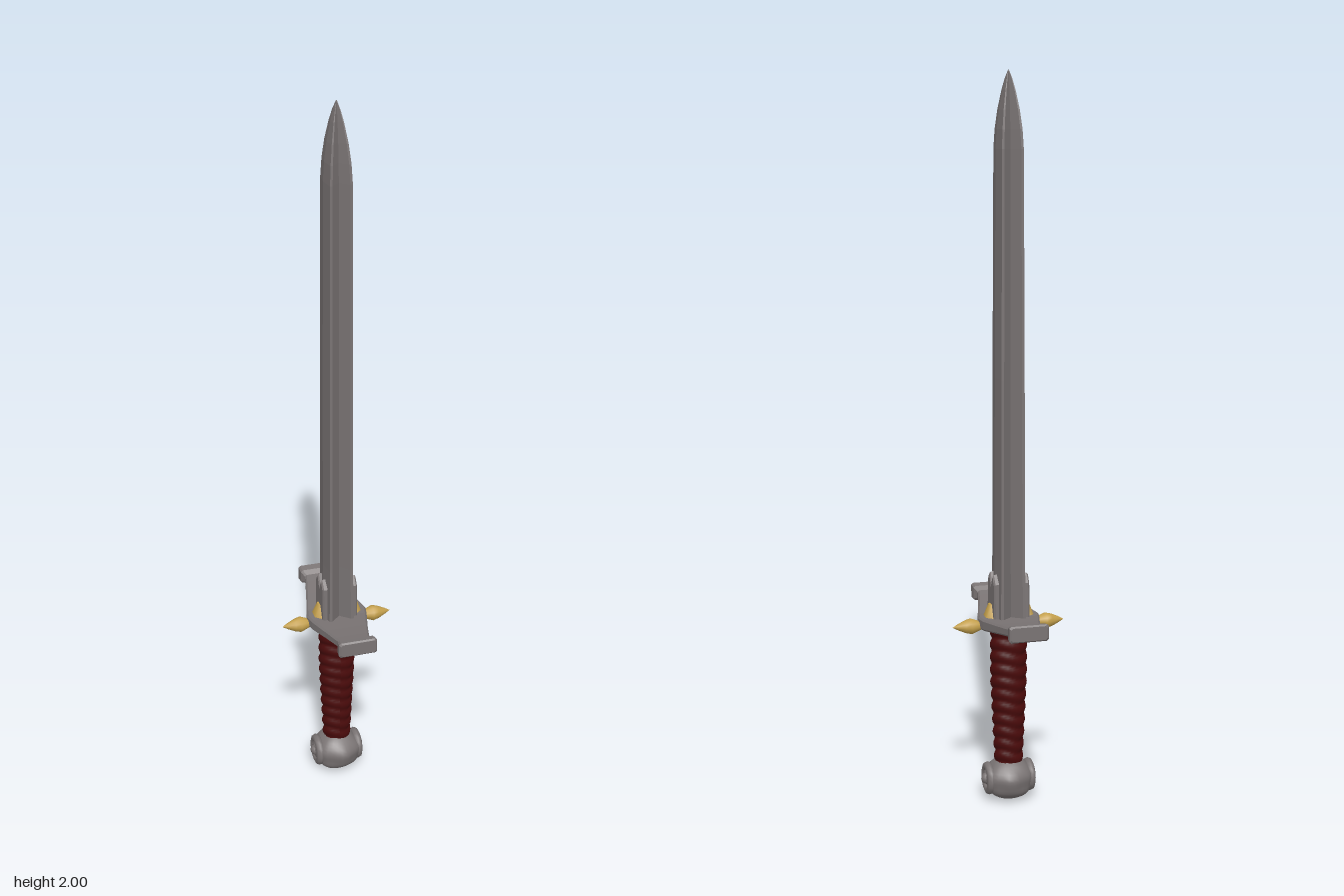
import * as THREE from 'three';

// Skin over closed rings of [x, y, z] points, flat shaded, with both ends capped
function loft(rings) {
  const pos = [];
  const tri = (a, b, c) => pos.push(...a, ...b, ...c);
  const n = rings[0].length;
  for (let i = 0; i < rings.length - 1; i++) {
    for (let j = 0; j < n; j++) {
      const k = (j + 1) % n;
      tri(rings[i][j], rings[i][k], rings[i + 1][k]);
      tri(rings[i][j], rings[i + 1][k], rings[i + 1][j]);
    }
  }
  const cap = (ring, flip) => {
    const c = [0, 1, 2].map(a => ring.reduce((s, p) => s + p[a], 0) / n);
    ring.forEach((p, j) => {
      const q = ring[(j + 1) % n];
      flip ? tri(c, q, p) : tri(c, p, q);
    });
  };
  cap(rings[0], true);
  cap(rings[rings.length - 1], false);
  const g = new THREE.BufferGeometry();
  g.setAttribute('position', new THREE.Float32BufferAttribute(pos, 3));
  g.computeVertexNormals();
  return g;
}

// Move every vertex of a geometry by a rule
function reshape(g, rule) {
  const p = g.attributes.position, v = new THREE.Vector3();
  for (let i = 0; i < p.count; i++) {
    rule(v.fromBufferAttribute(p, i));
    p.setXYZ(i, v.x, v.y, v.z);
  }
  g.computeVertexNormals();
  return g;
}

export function createModel() {
  const mat = (name, color) => {
    const m = new THREE.MeshStandardMaterial({ color });
    m.name = name;
    return m;
  };
  const steel = mat('steel', 0x7a7474);
  const gold = mat('gold', 0xc4a04c);
  const leather = mat('darkRedLeather', 0x4a0b0b);

  const sword = new THREE.Group();
  sword.name = 'sword';
  const add = (name, geometry, material) => {
    const m = new THREE.Mesh(geometry, material);
    m.name = name;
    sword.add(m);
    return m;
  };

  // Blade: thick section with a deep groove front and back, curving to a point
  const section = [[0.037, 0], [0.031, -0.047], [0.024, -0.047], [0, -0.022], [-0.024, -0.047], [-0.031, -0.047],
    [-0.037, 0], [-0.031, 0.047], [-0.024, 0.047], [0, 0.022], [0.024, 0.047], [0.031, 0.047]];
  const bladeSteps = [[0.52, 1.15], [0.7, 1.06], [1.2, 1.02], [1.8, 0.94], [1.85, 0.86], [1.9, 0.69], [1.95, 0.43], [1.98, 0.22], [2, 0.02]];
  add('blade', loft(bladeSteps.map(([y, s]) => section.map(([x, z]) => [x * s, y, z * s]))), steel);

  // Guard: wide in the middle, bent upward to flared ends
  const guardHalf = [[0, 0.086, 0.522, 0.017], [0.03, 0.08, 0.523, 0.016], [0.1, 0.061, 0.533, 0.014], [0.15, 0.049, 0.541, 0.013],
    [0.178, 0.043, 0.546, 0.013], [0.19, 0.052, 0.548, 0.021], [0.21, 0.054, 0.55, 0.023], [0.214, 0.049, 0.55, 0.019]];
  const guardSteps = [...guardHalf.slice(1).reverse().map(([z, ...r]) => [-z, ...r]), ...guardHalf];
  add('guard', loft(guardSteps.map(([z, w, y, h]) => {
    const c = 0.005;
    return [[w, -h + c], [w, h - c], [w - c, h], [-w + c, h], [-w, h - c], [-w, -h + c], [-w + c, -h], [w - c, -h]]
      .map(([px, py]) => [px, y + py, z]);
  })), steel);

  // Grip: leather wound in bulging, slightly slanted turns
  const grip = new THREE.CylinderGeometry(1, 1, 0.4, 24, 80);
  reshape(grip, v => {
    const t = v.y / 0.4 + 0.5;
    const a = Math.atan2(v.z, v.x);
    const wave = Math.abs(Math.sin(Math.PI * 11 * t + 0.7 * Math.sin(2 * a)));
    const r = 0.033 + 0.011 * Math.min(1, t * 1.6) + 0.006 * wave;
    v.x *= r * 1.04;
    v.z *= r * 0.92;
    v.y += 0.312;
  });
  add('grip', grip, leather);

  // Pommel: a lumpy ball with raised rims and bosses on its two faces
  const pommel = new THREE.SphereGeometry(1, 28, 20);
  reshape(pommel, v => {
    const lump = 1 + 0.06 * Math.sin(5 * v.x + 1) * Math.cos(6 * v.z) + 0.03 * Math.sin(7 * v.y);
    v.set(v.x * 0.069 * lump, 0.064 + v.y * 0.061, v.z * 0.066 * lump);
  });
  add('pommel', pommel, steel);

  // Details repeated on both broad sides
  const chevron = new THREE.Shape([[-0.036, 0.53], [0.036, 0.53], [0.032, 0.635], [0.018, 0.655], [0, 0.622], [-0.018, 0.655], [-0.032, 0.635]]
    .map(p => new THREE.Vector2(...p)));
  for (const side of [1, -1]) {
    const turn = side * Math.PI / 2;
    const label = side > 0 ? 'left' : 'right';

    add(label + 'BladeChevron', new THREE.ExtrudeGeometry(chevron, {
      depth: 0.014, bevelEnabled: true, bevelThickness: 0.004, bevelSize: 0.004, bevelSegments: 1,
    }).translate(0, 0, 0.032).rotateY(turn), steel);

    // Pointed gold spike on the edge of the guard
    const profile = [[0.001, 0.06], [0.013, 0.082], [0.022, 0.106], [0.018, 0.122], [0.008, 0.144], [0, 0.158]]
      .map(p => new THREE.Vector2(...p));
    add(label + 'Spike', new THREE.LatheGeometry(profile, 12).rotateZ(-turn).translate(0, 0.514, 0), gold);

    // Gold clasp between blade and guard
    add(label + 'Clasp', new THREE.CylinderGeometry(0.012, 0.032, 0.04, 6)
      .scale(0.75, 1, 1).translate(side * 0.048, 0.554, 0), gold);

    add(label + 'PommelRim', new THREE.TorusGeometry(0.034, 0.012, 8, 20)
      .rotateY(turn).translate(side * 0.058, 0.066, 0), steel);
    add(label + 'PommelBoss', new THREE.SphereGeometry(0.016, 12, 8)
      .translate(side * 0.063, 0.066, 0), steel);
  }

  // The whole sword is turned slightly about its length
  sword.rotation.y = -0.113;
  const model = new THREE.Group();
  model.name = 'model';
  model.add(sword);
  return model;
}
